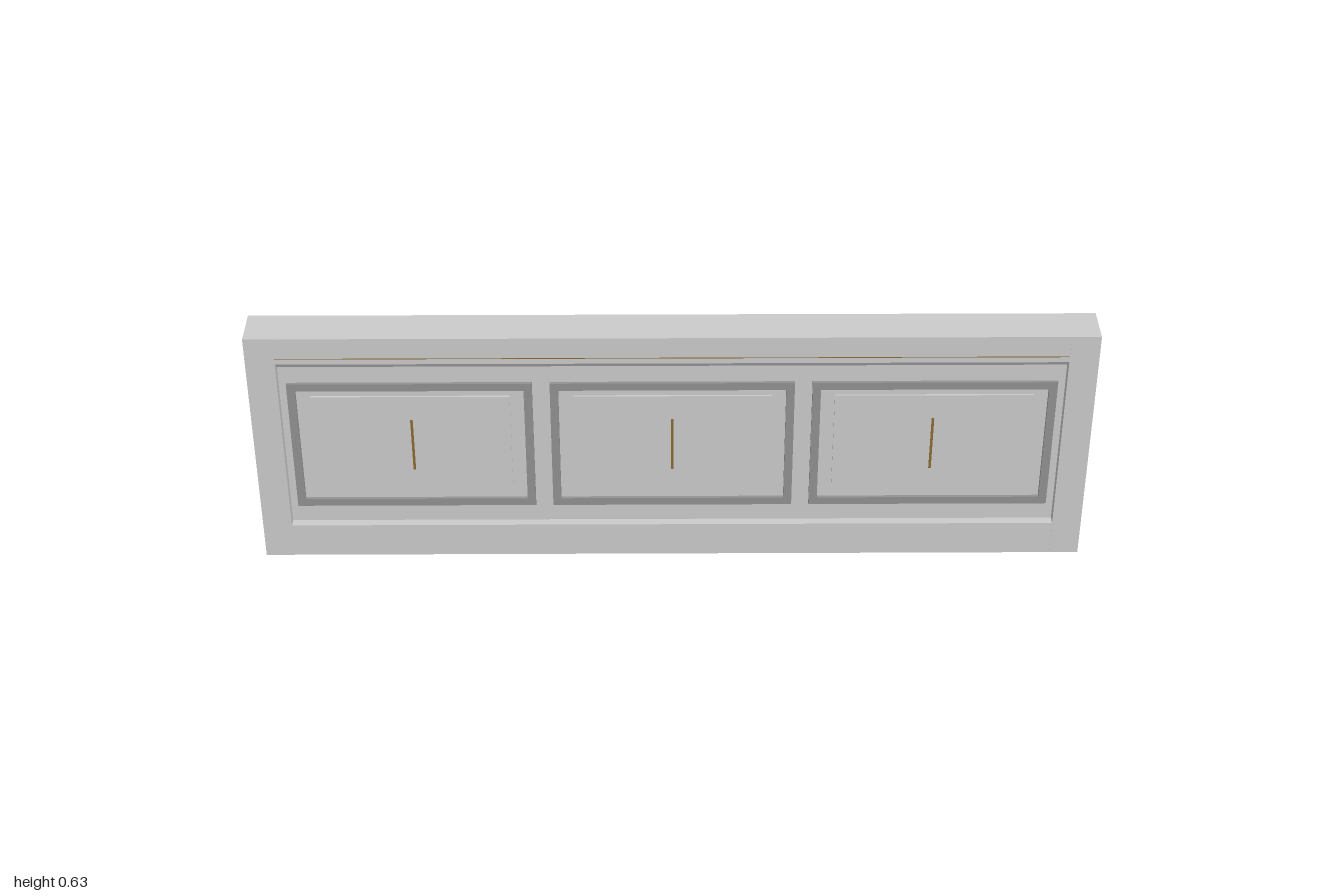
import * as THREE from 'three';

const grey = new THREE.MeshStandardMaterial({ color: 0xcccccc });
const darkGrey = new THREE.MeshStandardMaterial({ color: 0x929292 });
const brass = new THREE.MeshStandardMaterial({ color: 0x8a6a30 });

const HEIGHT = 0.63, POST_W = 0.07, POST_D = 0.105, RAIL_D = 0.104;
const INNER_W = 2 - 2 * POST_W, WALL_Z = 0.03;

function box(parent, name, w, h, d, x, y, z, material = grey) {
  const mesh = new THREE.Mesh(new THREE.BoxGeometry(w, h, d), material);
  mesh.name = name;
  mesh.position.set(x, y, z);
  parent.add(mesh);
  return mesh;
}

// Rectangular ring lying in the xy plane, rising from z = 0
function frame(parent, name, w, h, border, depth, z, material) {
  const rect = (S, a, b) => new S([
    new THREE.Vector2(-a, -b), new THREE.Vector2(a, -b),
    new THREE.Vector2(a, b), new THREE.Vector2(-a, b),
  ]);
  const shape = rect(THREE.Shape, w / 2, h / 2);
  shape.holes.push(rect(THREE.Path, w / 2 - border, h / 2 - border));
  const geometry = new THREE.ExtrudeGeometry(shape, { depth, bevelEnabled: false });
  const mesh = new THREE.Mesh(geometry, material);
  mesh.name = name;
  mesh.position.z = z;
  parent.add(mesh);
}

// One decorated panel, centred on its own origin and facing +z
function createPanel() {
  const panel = new THREE.Group();
  panel.name = 'panel';
  frame(panel, 'panelMoulding', 0.58, 0.355, 0.02, 0.008, 0, darkGrey);
  box(panel, 'raisedField', 0.472, 0.272, 0.006, 0, 0.003, 0.002);
  box(panel, 'brassInlay', 0.006, 0.145, 0.004, 0, 0.001, 0.0045, brass);
  return panel;
}

// Everything applied to one face of the wall
function createFace() {
  const face = new THREE.Group();
  face.name = 'panelledFace';
  for (const x of [-0.622, 0, 0.622]) {
    const panel = createPanel();
    panel.position.set(x, 0.317, WALL_Z);
    face.add(panel);
  }
  // Stepped trim under the top rail
  box(face, 'railTrim', INNER_W, 0.014, 0.012, 0, 0.553, WALL_Z + 0.005, darkGrey);
  // Hairline inlay in the top rail
  box(face, 'railInlay', INNER_W, 0.002, 0.002, 0, 0.575, RAIL_D / 2 - 0.0008, brass);
  return face;
}

export function createModel() {
  const model = new THREE.Group();
  model.name = 'panelledHalfWall';

  // End posts
  for (const side of [-1, 1]) {
    box(model, side > 0 ? 'leftPost' : 'rightPost', POST_W, HEIGHT, POST_D,
      side * (1 - POST_W / 2), HEIGHT / 2, 0);
  }

  // Rails and the recessed core between them
  box(model, 'bottomRail', INNER_W, 0.09, RAIL_D, 0, 0.045, 0);
  box(model, 'topRail', INNER_W, 0.07, RAIL_D, 0, HEIGHT - 0.035, 0);
  box(model, 'wallCore', INNER_W, 0.47, WALL_Z * 2, 0, 0.325, 0);

  // Front and back are identical
  const front = createFace();
  const back = createFace();
  back.rotation.y = Math.PI;
  model.add(front, back);
  return model;
}
